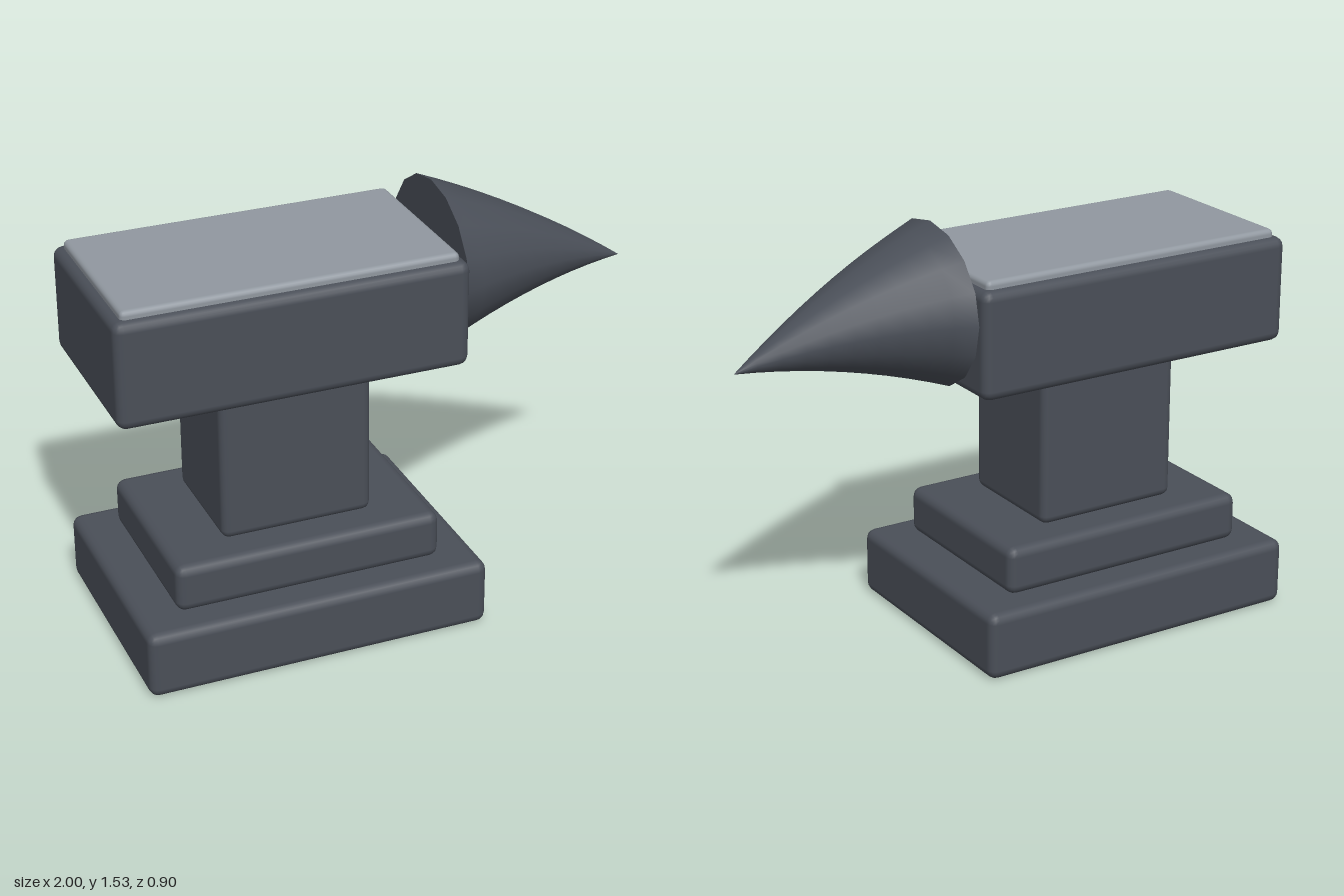
import * as THREE from 'three';
import { RoundedBoxGeometry } from 'three/addons/geometries/RoundedBoxGeometry.js';
import { mergeVertices } from 'three/addons/utils/BufferGeometryUtils.js';

export function createModel() {
  const group = new THREE.Group();
  group.name = 'anvil';

  const iron = new THREE.MeshStandardMaterial({ color: 0x4a4f58 });
  iron.name = 'dark iron';
  const steel = new THREE.MeshStandardMaterial({ color: 0x9198a0 });
  steel.name = 'polished steel';

  // Block with softened edges, given by its x and y limits and its half depth
  function block(name, x0, x1, y0, y1, halfZ, radius, material) {
    const geometry = new RoundedBoxGeometry(x1 - x0, y1 - y0, halfZ * 2, 2, radius);
    const mesh = new THREE.Mesh(geometry, material);
    mesh.position.set((x0 + x1) / 2, (y0 + y1) / 2, 0);
    mesh.name = name;
    group.add(mesh);
  }

  block('base', -0.965, 0.285, 0, 0.245, 0.45, 0.035, iron);
  block('step', -0.825, 0.145, 0.245, 0.42, 0.345, 0.035, iron);
  block('waist', -0.615, -0.065, 0.42, 0.977, 0.225, 0.03, iron);
  block('body', -1, 0.247, 0.977, 1.36, 0.347, 0.035, iron);
  block('facePlate', -0.967, 0.217, 1.33, 1.388, 0.315, 0.018, steel);

  // Horn: an oval cone along +x whose axis droops towards the tip
  const length = 0.745;
  const cone = new THREE.ConeGeometry(1, length, 16, 10);
  cone.rotateZ(-Math.PI / 2);
  cone.scale(1, 0.2875, 0.316);
  cone.translate(length / 2, 0, 0);
  const p = cone.attributes.position;
  for (let i = 0; i < p.count; i++) {
    const t = p.getX(i) / length;
    p.setY(i, p.getY(i) - 0.12 * t * t);
  }
  cone.deleteAttribute('uv');
  const hornGeometry = mergeVertices(cone);
  hornGeometry.computeVertexNormals();
  const horn = new THREE.Mesh(hornGeometry, iron);
  horn.position.set(0.25, 1.239, 0);
  horn.name = 'horn';
  group.add(horn);

  return group;
}
